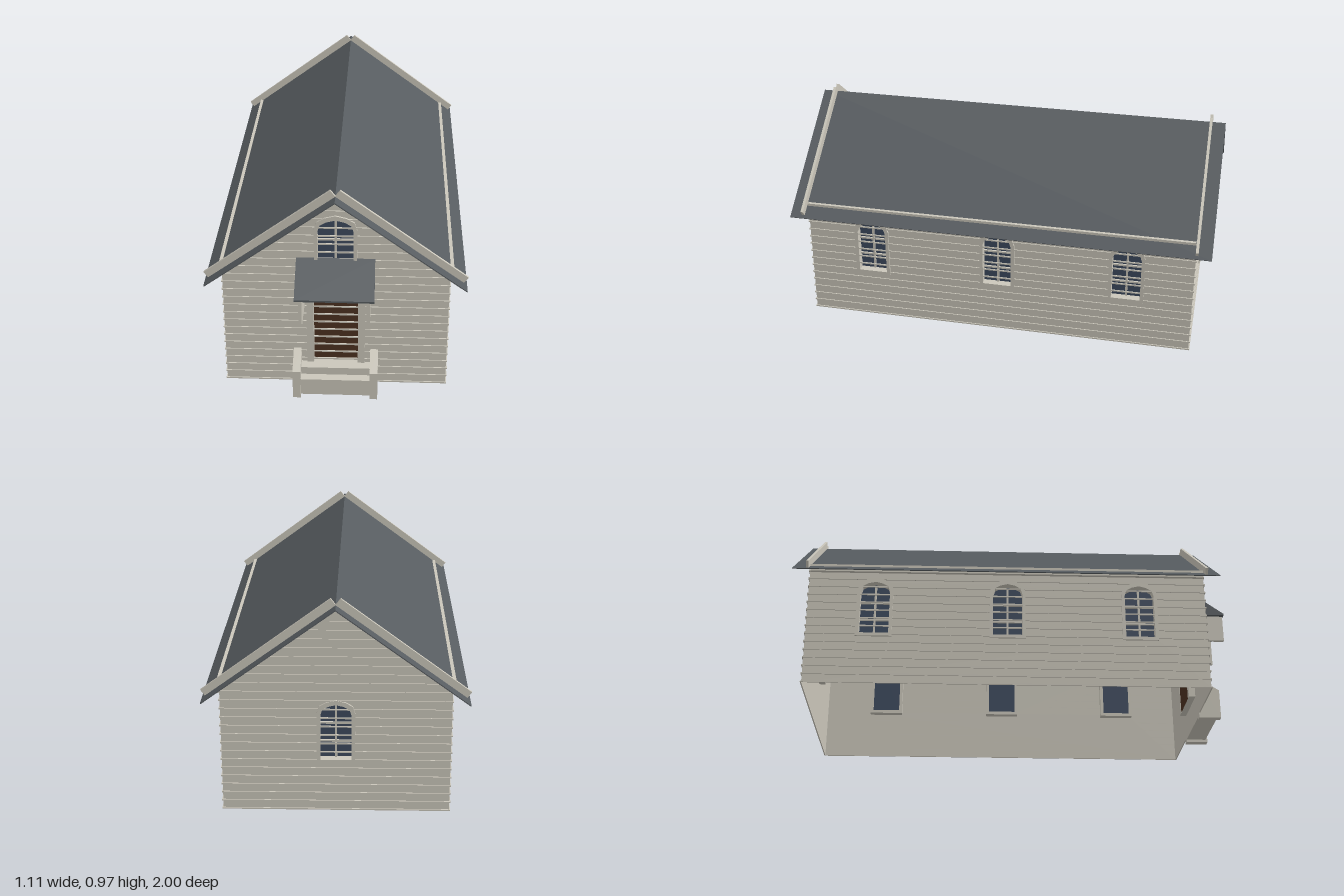
import * as THREE from 'three';

const mat = (name, color, side = THREE.FrontSide) => {
  const m = new THREE.MeshStandardMaterial({ color, side });
  m.name = name;
  return m;
};

export function createModel() {
  const model = new THREE.Group();
  model.name = 'chapel';
  const cream = mat('cream paint', 0xcbc7bb, THREE.DoubleSide);
  const slate = mat('slate roof', 0x575c60, THREE.DoubleSide);
  const blue = mat('blue glass', 0x3d4a5e, THREE.DoubleSide);
  const brown = mat('brown door', 0x4c3120, THREE.DoubleSide);

  const add = (parent, name, geo, material, x = 0, y = 0, z = 0) => {
    const mesh = new THREE.Mesh(geo, material);
    mesh.name = name;
    mesh.position.set(x, y, z);
    parent.add(mesh);
    return mesh;
  };
  const box = (parent, name, material, w, h, d, x, y, z) =>
    add(parent, name, new THREE.BoxGeometry(w, h, d), material, x, y, z);
  const polygon = (pts, C = THREE.Shape) => new C(pts.map(p => new THREE.Vector2(...p)));
  const extrude = (shape, depth) => new THREE.ExtrudeGeometry(shape, { depth, bevelEnabled: false });

  // Outlines of openings: low arch for windows, rectangle for the door
  const arch = (u, hw, y0, y1) => {
    const k = hw / 0.075;
    return [[u - hw, y0], [u + hw, y0], [u + hw, y1 - 0.055 * k], [u + hw * 0.87, y1 - 0.025 * k],
      [u + hw * 0.5, y1 - 0.009 * k], [u, y1], [u - hw * 0.5, y1 - 0.009 * k],
      [u - hw * 0.87, y1 - 0.025 * k], [u - hw, y1 - 0.055 * k]];
  };
  const rect = (hw, y0, y1) => [[-hw, y0], [hw, y0], [hw, y1], [-hw, y1]];
  const windowAt = (u, hw, y0, y1) => ({
    u, hw, y0, y1, inner: arch(u, hw, y0, y1), outer: arch(u, hw + 0.015, y0 - 0.015, y1 + 0.02),
  });
  const doorway = { door: true, inner: rect(0.095, 0.125, 0.475), outer: rect(0.125, 0.125, 0.5) };

  // Frame running back into the building, with a recessed panel
  function opening(wall, o) {
    const ring = polygon(o.outer);
    ring.holes.push(polygon(o.inner, THREE.Path));
    add(wall, o.door ? 'doorFrame' : 'windowFrame', extrude(ring, 0.038), cream, 0, 0, -0.03);
    add(wall, o.door ? 'door' : 'windowGlass', new THREE.ShapeGeometry(polygon(o.inner)),
      o.door ? brown : blue, 0, 0, -0.028);
    if (o.door) return;
    const h = o.y1 - o.y0;
    box(wall, 'mullion', cream, 0.009, h - 0.01, 0.008, o.u, o.y0 + h / 2 - 0.004, -0.023);
    for (const f of [0.3, 0.63])
      box(wall, 'glazingBar', cream, o.hw * 2, 0.008, 0.008, o.u, o.y0 + h * f, -0.023);
  }

  // Wall sheet with openings and horizontal siding battens
  const base = 0.0225, hx = 0.479, hz = 0.8875, zc = -0.0425, apex = 0.938, pitch = 0.742;
  const eave = apex - hx * pitch;
  function makeWall(name, half, gable, openings, angle, x, z) {
    const wall = new THREE.Group();
    wall.name = name;
    wall.rotation.y = angle;
    wall.position.set(x, 0, z);
    const outline = [[-half, base], [half, base], [half, eave]];
    if (gable) outline.push([0, apex]);
    outline.push([-half, eave]);
    const shape = polygon(outline);
    for (const o of openings) shape.holes.push(polygon(o.inner, THREE.Path));
    add(wall, 'wallSheet', new THREE.ShapeGeometry(shape), cream);
    const top = gable ? apex - 0.02 : eave - 0.01;
    for (let y = base + 0.003; y < top; y += 0.0385) {
      const w = Math.min(half + 0.004, (gable ? (apex - y - 0.004) / pitch : 9));
      box(wall, 'sidingBatten', cream, w * 2, 0.006, 0.005, 0, y, 0.0025);
    }
    openings.forEach(o => opening(wall, o));
    model.add(wall);
  }
  const sideWindows = () => [-0.59, 0, 0.59].map(u => windowAt(u, 0.065, 0.26, 0.51));
  makeWall('frontWall', hx, true, [windowAt(0, 0.075, 0.545, 0.833), doorway], 0, 0, zc + hz);
  makeWall('backWall', hx, true, [windowAt(0, 0.065, 0.26, 0.51)], Math.PI, 0, zc - hz);
  makeWall('leftWall', hz, false, sideWindows(), Math.PI / 2, hx, zc);
  makeWall('rightWall', hz, false, sideWindows(), -Math.PI / 2, -hx, zc);

  // Roof slopes, raised gable boards and eave boards
  const tilt = Math.atan2(0.405, 0.55), nx = Math.sin(tilt), ny = Math.cos(tilt);
  for (const s of [1, -1]) {
    const slope = box(model, 'roofSlope', slate, Math.hypot(0.55, 0.405), 0.004, 1.91,
      s * (0.275 - nx * 0.002), 0.7425 - ny * 0.002, -0.045);
    slope.rotation.z = -s * tilt;
    for (const z of [0.85, -0.935]) {
      const board = box(model, 'gableBoard', cream, 0.667, 0.034, 0.012,
        s * (0.2675 + nx * 0.017), 0.746 + ny * 0.017, z);
      board.rotation.z = -s * Math.atan(0.744);
    }
    box(model, 'eaveBoard', cream, 0.015, 0.034, 1.77, s * 0.49, 0.573, zc);
  }

  // Door canopy and its side brackets; profiles are drawn in (z, y) and run along x
  const along = (name, pts, material, w, x) => {
    const g = extrude(polygon(pts.map(([z, y]) => [-z, y]).reverse()), w);
    g.translate(0, 0, -w / 2);
    g.rotateY(Math.PI / 2);
    return add(model, name, g, material, x);
  };
  along('canopyRoof', [[0.845, 0.53], [1, 0.53], [1, 0.538], [0.845, 0.65]], slate, 0.33, 0);
  for (const s of [1, -1]) {
    box(model, 'canopyBracket', cream, 0.014, 0.126, 0.15, s * 0.141, 0.467, 0.921);
    along('stepSideWall', [[0.845, 0], [0.945, 0], [0.945, 0.135], [0.845, 0.193]], cream, 0.034, s * 0.166);
  }

  // Entrance steps
  along('entranceSteps', [[0.845, 0.012], [0.935, 0.012], [0.935, 0.09], [0.895, 0.09],
    [0.895, 0.125], [0.845, 0.125]], cream, 0.3, 0);
  return model;
}
